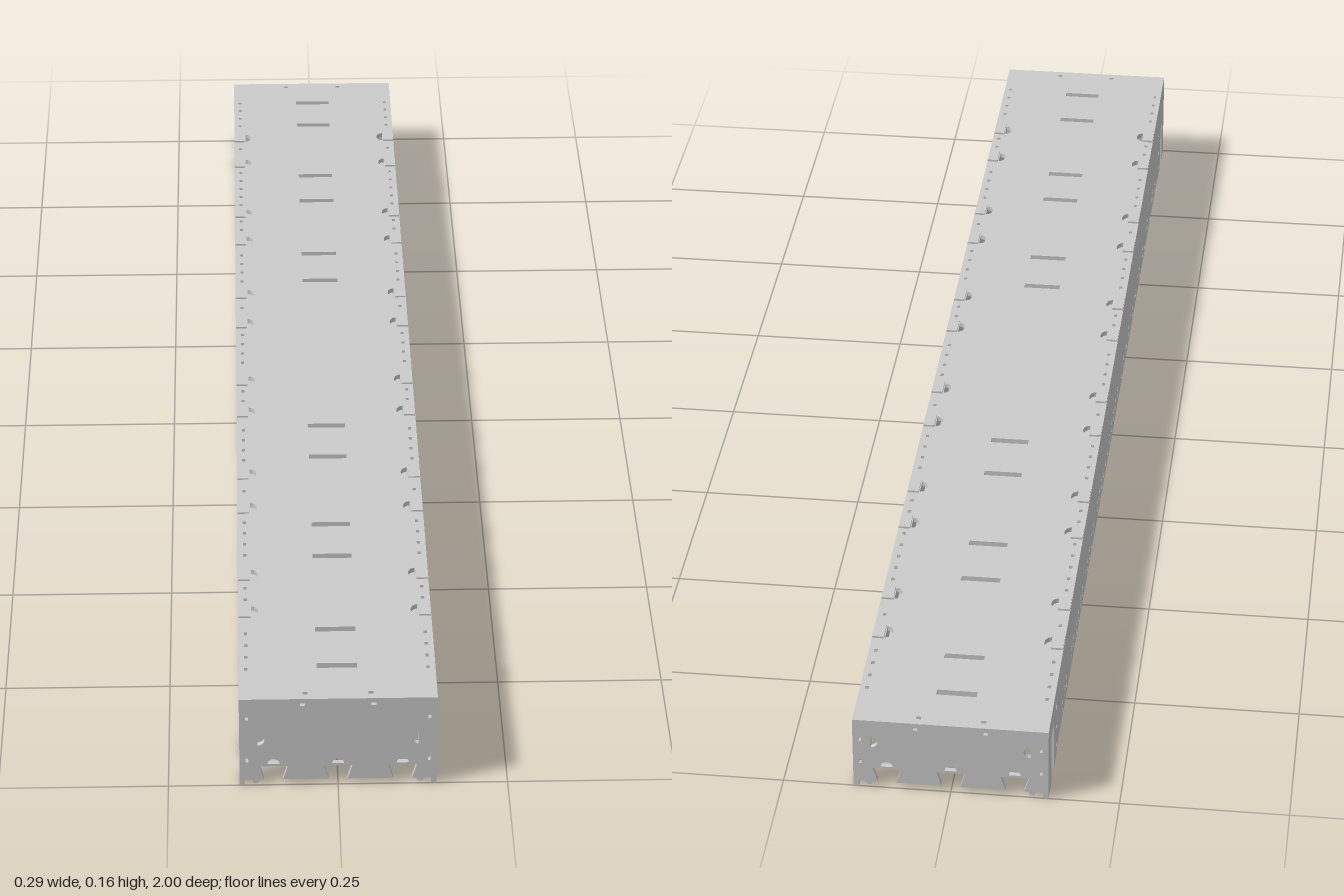
import * as THREE from 'three';

const T = 0.008, HW = 0.145;               // sheet thickness, half width
const topY = z => 0.1375 + 0.0175 * z;     // sloping lid height
const mat = new THREE.MeshStandardMaterial({ color: 0xcccccc, flatShading: true });

const poly = pts => pts.map(p => new THREE.Vector2(p[0], p[1]));
const rect = (x, y, w, h) => new THREE.Path(poly([
  [x - w / 2, y - h / 2], [x + w / 2, y - h / 2], [x + w / 2, y + h / 2], [x - w / 2, y + h / 2]]));

// Half-round relief hole with its flat side at (x, y), bulging towards angle a
function halfRound(x, y, r, a, squash = 1) {
  const pts = [];
  for (let i = 0; i <= 8; i++) {
    const t = a - Math.PI / 2 + Math.PI * i / 8;
    pts.push([x + r * squash * Math.cos(t), y + r * Math.sin(t)]);
  }
  return new THREE.Path(poly(pts));
}

function sheet(outline, holes, depth = T) {
  const s = new THREE.Shape(poly(outline));
  s.holes.push(...holes);
  return new THREE.ExtrudeGeometry(s, { depth, bevelEnabled: false });
}

function add(group, name, geo, x = 0, y = 0, z = 0) {
  const m = new THREE.Mesh(geo, mat);
  m.name = name;
  m.position.set(x, y, z);
  group.add(m);
  return m;
}

// Cross panel with dovetail notches along its bottom edge
function crossPanel(half, top, feet) {
  const o = feet
    ? [[-half, 0], [-half + T, 0], [-half + T, 0.01], [-0.127, 0.01], [-0.124, 0.004], [-0.118, 0.004], [-0.115, 0.01]]
    : [[-half, 0.01]];
  for (const c of [-0.095, 0, 0.095])
    o.push([c - 0.014, 0.01], [c - 0.021, 0.034], [c + 0.021, 0.034], [c + 0.014, 0.01]);
  if (feet) o.push([0.115, 0.01], [0.118, 0.004], [0.124, 0.004], [0.127, 0.01], [half - T, 0.01], [half - T, 0]);
  o.push([half, feet ? 0 : 0.01], [half, top], [-half, top]);
  const holes = [];
  if (feet) {
    for (const c of [-0.095, 0, 0.095]) holes.push(halfRound(c, 0.038, 0.009, Math.PI / 2));
    for (const s of [-1, 1]) {
      holes.push(rect(s * 0.052, top - 0.002, 0.007, 0.004));
      holes.push(halfRound(s * 0.118, 0.082, 0.01, s > 0 ? Math.PI : 0));
      for (const y of [0.045, top - 0.026]) holes.push(rect(s * 0.134, y, 0.004, 0.007));
    }
  }
  return sheet(o, holes);
}

export function createModel() {
  const g = new THREE.Group();
  g.name = 'taperedTray';

  // Side walls with open slots near both ends and rows of peg holes
  const e = 1 - T, b = 0.008;
  const wall = [[-e, 0], [-0.96, 0], [-0.96, 0.085], [-0.927, 0.085], [-0.927, 0], [-0.89, 0], [-0.88, b],
    [0.88, b], [0.89, 0], [0.932, 0], [0.932, 0.08], [0.965, 0.08], [0.965, 0], [e, 0],
    [e, topY(e) - T], [-e, topY(-e) - T]];
  const wallHoles = [];
  for (let i = 0; i < 48; i++) {
    if (i % 12 === 3) continue;
    const z = -0.81 + i * 1.62 / 47;
    for (const y of [0.021, 0.037]) wallHoles.push(rect(z, y, 0.007, 0.009));
  }
  for (const s of [-1, 1])
    for (const y of [0.02, 0.055, 0.09]) wallHoles.push(rect(s * 0.893, y, 0.01, 0.007));
  const wallGeo = sheet(wall, wallHoles).rotateY(-Math.PI / 2);
  add(g, 'leftWall', wallGeo, HW);
  add(g, 'rightWall', wallGeo, -HW + T);

  // Lid with slots, relief holes and pin holes, sheared to the slope
  const slots = [-0.92, -0.83, -0.63, -0.535, -0.34, -0.245, 0.235, 0.33, 0.53, 0.62, 0.82, 0.915];
  const tabs = [-0.78, -0.68, -0.49, -0.39, -0.2, -0.1, 0.09, 0.19, 0.38, 0.48, 0.67, 0.77];
  const lidHoles = slots.map(z => rect(0, -z, 0.06, 0.012));
  for (const s of [-1, 1]) {
    for (const z of tabs) lidHoles.push(halfRound(s * 0.125, -z, 0.014, s > 0 ? Math.PI : 0, 0.75));
    for (let z = -0.92; z < 0.93; z += 0.0307)
      if (tabs.every(t => Math.abs(t - z) > 0.03)) lidHoles.push(rect(s * 0.134, -z, 0.005, 0.007));
    for (const z of [-0.985, 0.985]) lidHoles.push(rect(s * 0.048, -z, 0.007, 0.006));
  }
  const lid = sheet([[-HW, -1], [HW, -1], [HW, 1], [-HW, 1]], lidHoles).rotateX(-Math.PI / 2);
  const p = lid.attributes.position;
  for (let i = 0; i < p.count; i++) p.setY(i, p.getY(i) + topY(p.getZ(i)) - T);
  lid.computeVertexNormals();
  add(g, 'lid', lid);

  // Dovetail tabs of the walls standing slightly proud of the lid
  const tabGeo = new THREE.BoxGeometry(0.018, T, 0.034);
  for (const s of [-1, 1])
    for (const z of tabs) add(g, 'wallTab', tabGeo, s * 0.1355, topY(z) - T / 2 + 0.003, z);

  // End panels and inner bulkheads
  add(g, 'frontPanel', crossPanel(HW, topY(1) - T, true), 0, 0, 1 - T);
  add(g, 'backPanel', crossPanel(HW, topY(-1) - T, true), 0, 0, -1);
  add(g, 'frontBulkhead', crossPanel(HW - T, topY(0.88) - T, false), 0, 0, 0.886);
  add(g, 'backBulkhead', crossPanel(HW - T, topY(-0.9) - T, false), 0, 0, -0.894);

  // Recessed floor between the bulkheads
  add(g, 'floor', new THREE.BoxGeometry(2 * (HW - T), T, 1.772), 0, 0.04, 0);
  return g;
}
